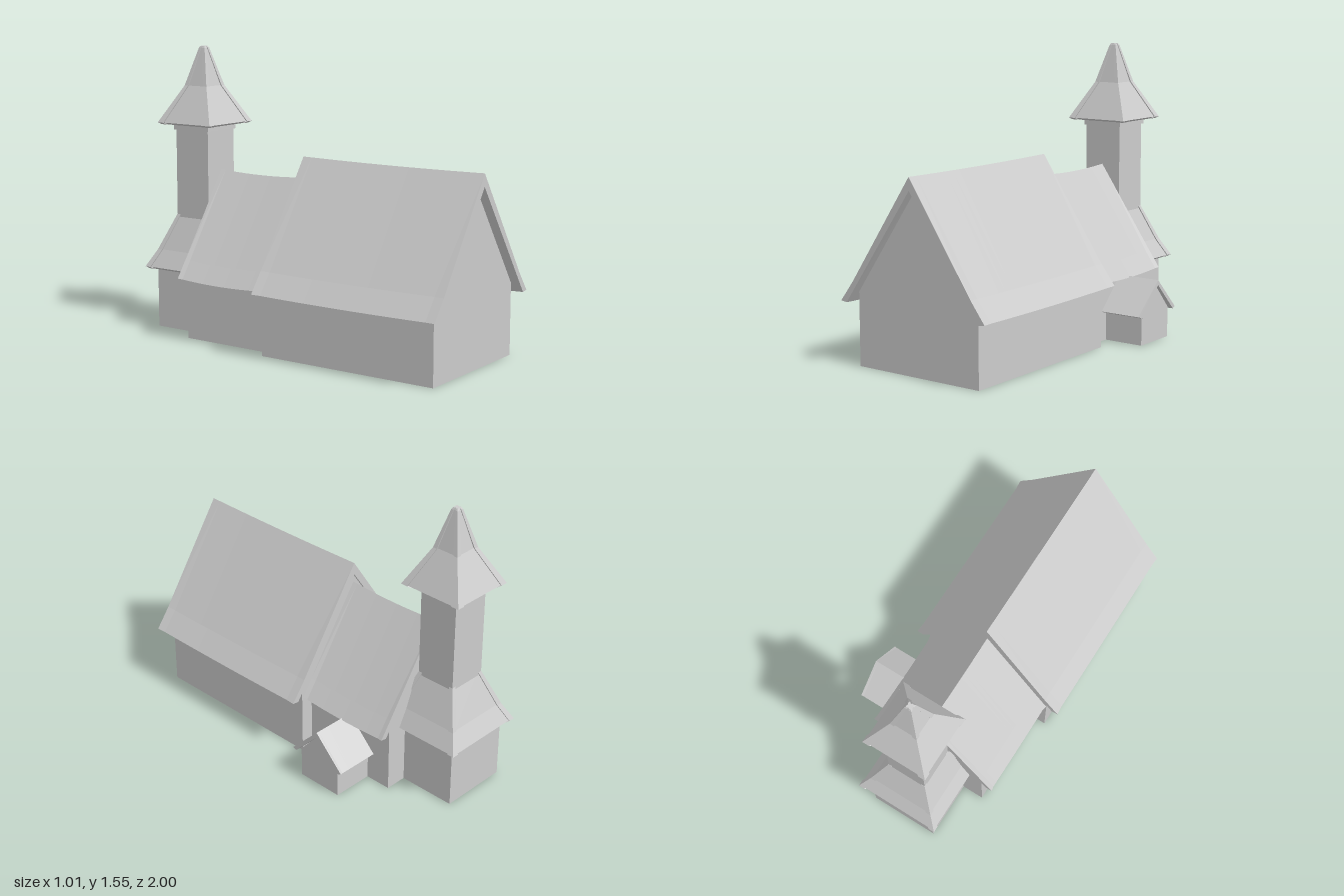
import * as THREE from 'three';

const CX = -0.05; // ridge line of the building
const TZ = -0.76; // tower centre

export function createModel() {
  const group = new THREE.Group();
  const material = new THREE.MeshStandardMaterial({ color: 0xcccccc, flatShading: true });

  const add = (name, geometry, x, y, z, turn = 0) => {
    const mesh = new THREE.Mesh(geometry, material);
    mesh.name = name;
    mesh.position.set(x, y, z);
    mesh.rotation.y = turn;
    group.add(mesh);
    return mesh;
  };

  const extrude = (half, depth, steps = 1) => {
    // half: right-hand outline from the top centre downwards, mirrored to the left
    const left = half.filter(([x]) => x > 0).map(([x, y]) => [-x, y]);
    return { left, make: (pts) => new THREE.ExtrudeGeometry(
      new THREE.Shape(pts.map(([x, y]) => new THREE.Vector2(x, y))),
      { depth, steps, bevelEnabled: false }) };
  };

  // Walls with a gable at each end
  const gableWalls = (halfWidth, eave, apex, depth) => {
    const { left, make } = extrude([[0, apex], [halfWidth, eave], [halfWidth, 0]], depth);
    return make([[0, apex], ...left, [halfWidth, 0], [halfWidth, eave]]);
  };

  // Folded roof slab: sagging ridge, edges flared slightly at both ends
  const gableRoof = (outer, inner, depth, sag, flare) => {
    const mirror = ([x, y]) => [-x, y];
    const { make } = extrude(outer, depth, 20);
    const pts = [...outer, ...[...inner].reverse(),
      ...inner.slice(1).map(mirror), ...outer.slice(1).reverse().map(mirror)];
    const geometry = make(pts);
    const p = geometry.attributes.position;
    for (let i = 0; i < p.count; i++) {
      const t = (p.getZ(i) / depth) * 2 - 1;
      const end = Math.abs(t) > 0.91 ? flare : 0;
      p.setX(i, p.getX(i) + Math.sign(p.getX(i)) * end);
      p.setY(i, p.getY(i) - sag * (1 - t * t));
    }
    geometry.computeVertexNormals();
    return geometry;
  };

  // Square ring with raised bands at the corners
  const bandedRing = ([half, y, band]) => {
    const inset = Math.min(0.007, half * 0.2);
    const side = [[half, -half], [half, band - half], [half - inset, band - half],
      [half - inset, half - band], [half, half - band]];
    const ring = [];
    for (let k = 0; k < 4; k++) {
      for (const [a, b] of side) {
        const [x, z] = [[a, b], [-b, a], [-a, -b], [b, -a]][k];
        ring.push([x, y, z]);
      }
    }
    return ring;
  };

  // Tower roof lofted through banded rings, closed at both ends
  const bandedRoof = (levels) => {
    const rings = levels.map(bandedRing);
    const n = rings[0].length;
    const v = [];
    const low = [0, levels[0][1], 0];
    const high = [0, levels[levels.length - 1][1], 0];
    for (let i = 0; i < n; i++) {
      const j = (i + 1) % n;
      for (let r = 0; r < rings.length - 1; r++) {
        const [a, b, c, d] = [rings[r][i], rings[r][j], rings[r + 1][j], rings[r + 1][i]];
        v.push(...a, ...d, ...b, ...b, ...d, ...c);
      }
      const top = rings[rings.length - 1];
      v.push(...low, ...rings[0][i], ...rings[0][j], ...high, ...top[j], ...top[i]);
    }
    const geometry = new THREE.BufferGeometry();
    geometry.setAttribute('position', new THREE.Float32BufferAttribute(v, 3));
    geometry.computeVertexNormals();
    return geometry;
  };

  // Nave
  add('naveWalls', gableWalls(0.38, 0.39, 0.935, 1.03), CX, 0, -0.08);
  add('naveRoof', gableRoof([[0, 0.997], [0.37, 0.445], [0.452, 0.337]],
    [[0, 0.93], [0.415, 0.332]], 1.09, 0.005, 0.004), CX, 0, -0.09);

  // Chancel
  add('chancelWalls', gableWalls(0.31, 0.377, 0.81, 0.56), CX, 0, -0.635);
  add('chancelRoof', gableRoof([[0, 0.885], [0.31, 0.43], [0.375, 0.338]],
    [[0, 0.818], [0.34, 0.333]], 0.56, 0.011, 0.005), CX, 0, -0.645);

  // Side porch, its gable facing +x
  add('porchWalls', gableWalls(0.13, 0.165, 0.31, 0.285), 0.2, 0, -0.36, Math.PI / 2);
  add('porchRoof', gableRoof([[0, 0.335], [0.17, 0.162]],
    [[0, 0.308], [0.15, 0.153]], 0.285, 0, 0.002), 0.22, 0, -0.36, Math.PI / 2);

  // Tower
  const box = (name, width, bottom, top) =>
    add(name, new THREE.BoxGeometry(width, top - bottom, width), CX, (bottom + top) / 2, TZ);
  box('towerBase', 0.38, 0, 0.36);
  box('towerShaft', 0.222, 0.34, 1.11);
  box('towerCornice', 0.24, 1.1, 1.14);
  add('towerSkirtRoof', bandedRoof([
    [0.222, 0.328, 0.035], [0.24, 0.34, 0.035], [0.19, 0.435, 0.03], [0.112, 0.63, 0.022],
  ]), CX, 0, TZ);
  add('spire', bandedRoof([
    [0.168, 1.13, 0.04], [0.183, 1.14, 0.04], [0.077, 1.34, 0.025],
    [0.02, 1.545, 0.014], [0.014, 1.555, 0.01],
  ]), CX, 0, TZ);

  return group;
}
